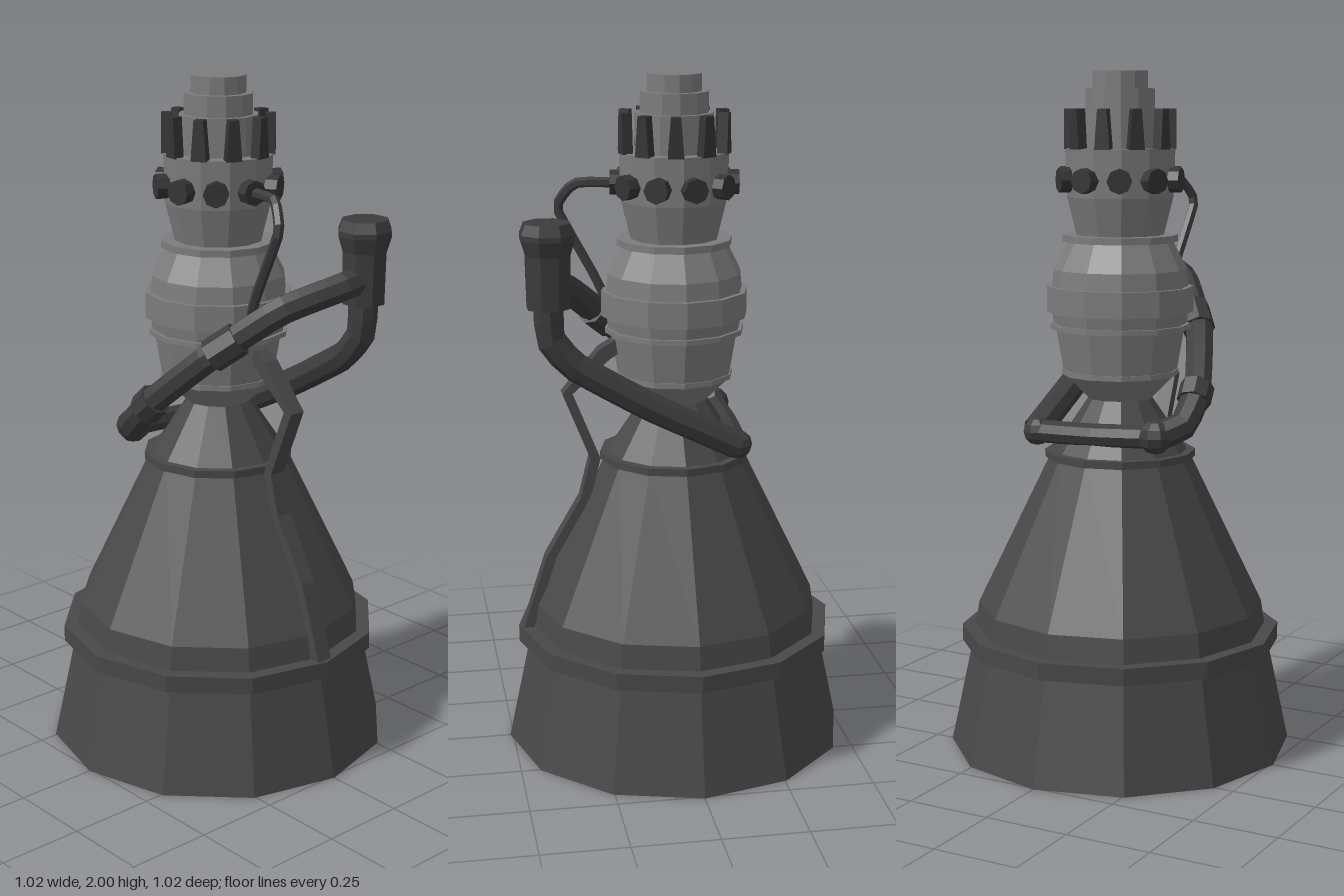
import * as THREE from 'three';

const mat = (name, color) => {
  const m = new THREE.MeshStandardMaterial({ color, flatShading: true, side: THREE.DoubleSide });
  m.name = name;
  return m;
};
const V = (p) => new THREE.Vector3(...p);

export function createModel() {
  const nozzleGrey = mat('nozzle grey', 0x484848);
  const chamberGrey = mat('chamber grey', 0x7c7c7c);
  const pipeGrey = mat('pipe grey', 0x3c3c3c);
  const fittingGrey = mat('fitting dark grey', 0x343434);

  const engine = new THREE.Group();
  engine.name = 'rocketEngine';
  const add = (name, geo, material, parent = engine) => {
    const mesh = new THREE.Mesh(geo, material);
    mesh.name = name;
    parent.add(mesh);
    return mesh;
  };
  // Twelve-sided turned part from [radius, height] pairs
  const turned = (name, profile, material, sides = 12) =>
    add(name, new THREE.LatheGeometry(profile.map((p) => new THREE.Vector2(...p)), sides), material);
  // Pipe through a few points
  const pipe = (name, points, radius, steps, sides = 8) => {
    const curve = new THREE.CatmullRomCurve3(points.map(V), false, 'catmullrom', 0.2);
    return add(name, new THREE.TubeGeometry(curve, steps, radius, sides), pipeGrey);
  };
  // Short cylinder joining two points
  const sleeve = (name, from, to, radius) => {
    const a = V(from), b = V(to);
    const mesh = add(name, new THREE.CylinderGeometry(radius, radius, a.distanceTo(b), 8), pipeGrey);
    mesh.position.copy(a).lerp(b, 0.5);
    mesh.quaternion.setFromUnitVectors(new THREE.Vector3(0, 1, 0), b.sub(a).normalize());
  };

  // Nozzle bell with stiffening rings and an inner closing plate
  turned('nozzleBell', [[0.51, 0], [0.44, 0.33], [0.435, 0.36], [0.424, 0.43], [0.205, 0.885], [0.095, 1.05]], nozzleGrey);
  turned('nozzleLowerRing', [[0.43, 0.31], [0.475, 0.31], [0.475, 0.36], [0.43, 0.36]], nozzleGrey);
  turned('nozzleUpperRing', [[0.19, 0.873], [0.223, 0.873], [0.223, 0.895], [0.19, 0.895]], nozzleGrey);
  const plate = add('nozzleInnerPlate', new THREE.CircleGeometry(0.443, 12), nozzleGrey);
  plate.rotation.x = Math.PI / 2;
  plate.position.y = 0.31;

  // Combustion chamber, stepped bands and cap
  turned('lowerChamber', [
    [0.095, 1.05], [0.165, 1.12], [0.172, 1.12], [0.172, 1.135], [0.168, 1.135], [0.188, 1.255],
    [0.205, 1.255], [0.205, 1.27], [0.195, 1.27], [0.2, 1.305], [0.215, 1.305], [0.215, 1.38],
    [0.2, 1.38], [0.195, 1.43], [0.155, 1.51], [0.168, 1.51], [0.168, 1.53], [0.125, 1.53],
  ], chamberGrey);
  turned('upperChamber', [[0.128, 1.53], [0.155, 1.64], [0.16, 1.78], [0, 1.78]], chamberGrey);
  turned('topCap', [[0.115, 1.78], [0.115, 1.89], [0.1, 1.89], [0.1, 1.95], [0.08, 1.95], [0.08, 2], [0, 2]], chamberGrey);

  // Ten tapered fins and ten round bolts about the head
  for (let i = 0; i < 10; i++) {
    const spoke = new THREE.Group();
    spoke.name = 'headFitting';
    spoke.rotation.y = -THREE.MathUtils.degToRad(8 + i * 36);
    engine.add(spoke);
    const bolt = add('headBolt', new THREE.CylinderGeometry(0.036, 0.036, 0.045, 8), fittingGrey, spoke);
    bolt.rotation.z = Math.PI / 2;
    bolt.position.set(0.163, 1.69, 0);

    const finGeo = new THREE.BoxGeometry(0.03, 0.115, 0.046);
    const pos = finGeo.attributes.position;
    for (let k = 0; k < pos.count; k++) if (pos.getY(k) > 0) pos.setZ(k, pos.getZ(k) * 0.6);
    const holder = new THREE.Group();
    holder.name = 'headFin';
    holder.rotation.y = -Math.PI / 10;
    spoke.add(holder);
    add('fin', finGeo, fittingGrey, holder).position.set(0.147, 1.835, 0);
  }

  // Turbopump canister
  const pump = turned('pumpCanister', [
    [0, 1.38], [0.063, 1.38], [0.066, 1.53], [0.08, 1.575], [0.08, 1.59], [0.068, 1.62], [0, 1.62],
  ], pipeGrey, 8);
  pump.position.set(0.39, 0, -0.2);
  pump.rotation.y = Math.PI / 8;

  // Feed pipe sweeping round the front, then back along the right side
  pipe('frontFeedPipe', [[0.39, 1.45, -0.2], [0.395, 1.44, -0.11], [0.31, 1.38, 0.05], [0.16, 1.24, 0.18],
    [0, 1.09, 0.255], [-0.09, 1, 0.255], [-0.155, 0.97, 0.2]], 0.042, 22);
  pipe('sideFeedPipe', [[-0.155, 0.97, 0.2], [-0.16, 0.96, 0], [-0.15, 0.955, -0.19]], 0.034, 4);
  pipe('rearFeedPipe', [[0.39, 1.39, -0.2], [0.385, 1.29, -0.2], [0.32, 1.21, -0.2],
    [0.1, 1.08, -0.205], [-0.15, 0.955, -0.2]], 0.042, 14);
  sleeve('upperPipeCollar', [0.225, 1.3, 0.125], [0.165, 1.245, 0.175], 0.05);
  sleeve('lowerPipeCollar', [0.01, 1.1, 0.25], [-0.03, 1.06, 0.258], 0.05);
  for (const [x, y, z, r] of [[-0.155, 0.97, 0.2, 0.05], [-0.152, 0.955, -0.195, 0.042]]) {
    add('pipeElbow', new THREE.SphereGeometry(r, 8, 6), pipeGrey).position.set(x, y, z);
  }

  // Thin igniter line from a head bolt
  pipe('igniterLine', [[0.16, 1.69, 0.02], [0.27, 1.69, 0.04], [0.3, 1.67, 0.055], [0.33, 1.61, 0.075],
    [0.23, 1.42, 0.06], [0.17, 1.29, 0.05]], 0.015, 20, 6);

  // Flat coolant line running down the left side of the bell
  const path = [[0.16, 1.24], [0.21, 1.21], [0.32, 1.08], [0.24, 0.88], [0.27, 0.76], [0.375, 0.58], [0.45, 0.35]];
  const w = 0.015;
  const outline = [...path.map(([x, y]) => new THREE.Vector2(x + w, y)),
    ...[...path].reverse().map(([x, y]) => new THREE.Vector2(x - w, y - (y > 1.2 ? 0.03 : 0)))];
  const lineGeo = new THREE.ExtrudeGeometry(new THREE.Shape(outline), { depth: 0.05, bevelEnabled: false });
  lineGeo.translate(0, 0, -0.025);
  add('coolantLine', lineGeo, nozzleGrey);

  return engine;
}
